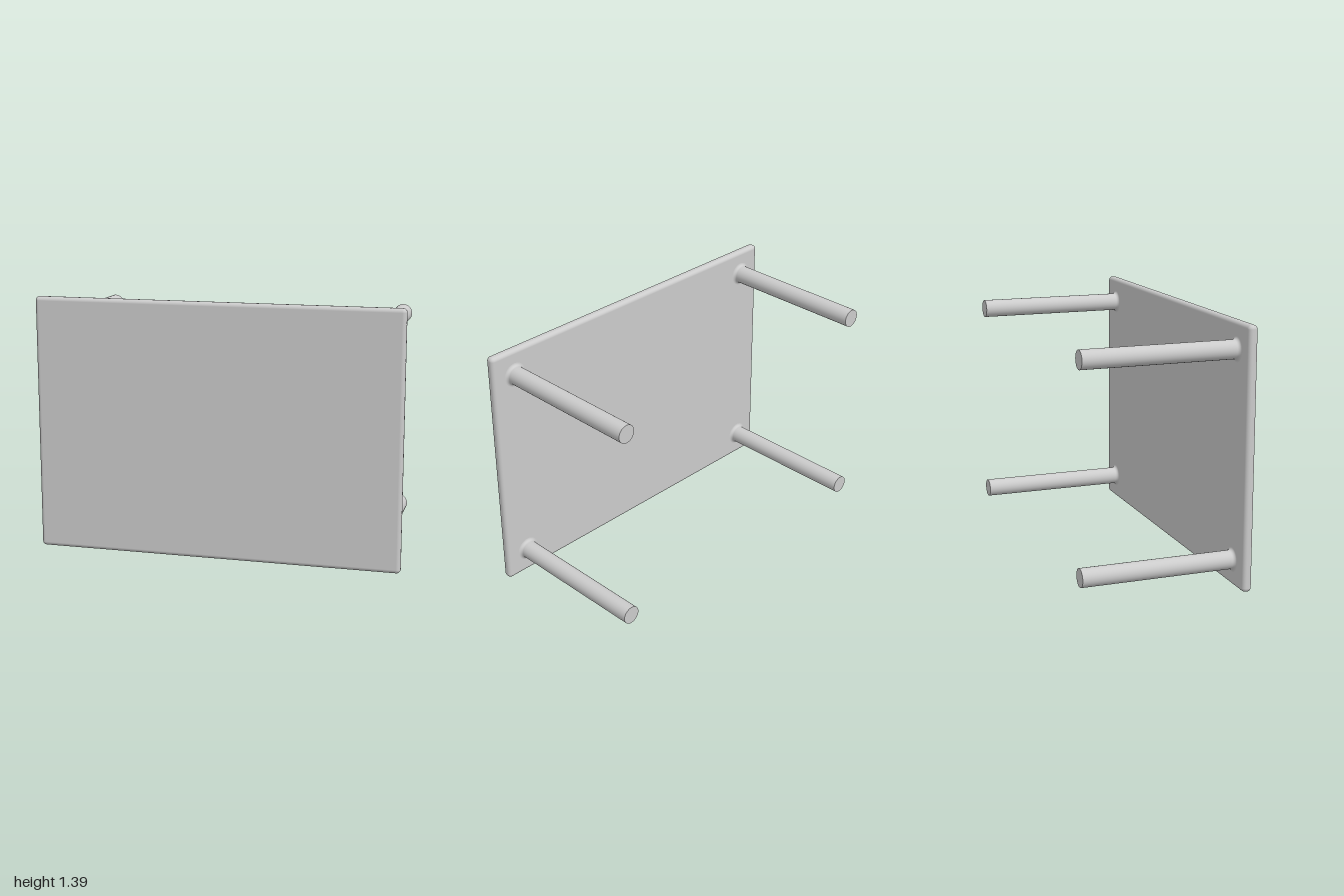
import * as THREE from 'three';
import { RoundedBoxGeometry } from 'three/addons/geometries/RoundedBoxGeometry.js';

const HEIGHT = 1.39, FRONT = 0.445, BACK = -0.445, THICK = 0.053;
const LEG_X = 0.86, LEG_INSET = 0.14, LEG_R = 0.05, FILLET = 0.017;

export function createModel() {
  const group = new THREE.Group();
  const material = new THREE.MeshStandardMaterial({ color: 0xcccccc });

  // Tabletop standing on its long edge, with softly rounded rims
  const top = new THREE.Mesh(new RoundedBoxGeometry(2, HEIGHT, THICK, 4, 0.022), material);
  top.name = 'tabletop';
  top.position.set(0, HEIGHT / 2, FRONT - THICK / 2);
  group.add(top);

  // Leg profile: from the free end down to a concave flare at the tabletop
  const length = FRONT - THICK - BACK;
  const profile = [];
  for (let i = 0; i <= 6; i++) {
    const a = (i / 6) * Math.PI / 2;
    profile.push(new THREE.Vector2(
      LEG_R + FILLET * (1 - Math.sin(a)),
      FILLET * (1 - Math.cos(a))
    ));
  }
  profile.push(new THREE.Vector2(LEG_R, length));
  const legGeometry = new THREE.LatheGeometry(profile, 32).rotateX(-Math.PI / 2);
  const capGeometry = new THREE.CircleGeometry(LEG_R, 32).rotateY(Math.PI);

  // Four legs pointing backwards, each closed by a flat foot
  for (const side of [-1, 1]) {
    for (const level of [LEG_INSET, HEIGHT - LEG_INSET]) {
      const leg = new THREE.Group();
      leg.name = (level < HEIGHT / 2 ? 'lower' : 'upper') + (side > 0 ? 'Left' : 'Right') + 'Leg';
      const shaft = new THREE.Mesh(legGeometry, material);
      shaft.name = 'legShaft';
      const foot = new THREE.Mesh(capGeometry, material);
      foot.name = 'legFoot';
      foot.position.z = -length;
      leg.add(shaft, foot);
      leg.position.set(side * LEG_X, level, FRONT - THICK);
      group.add(leg);
    }
  }
  return group;
}
